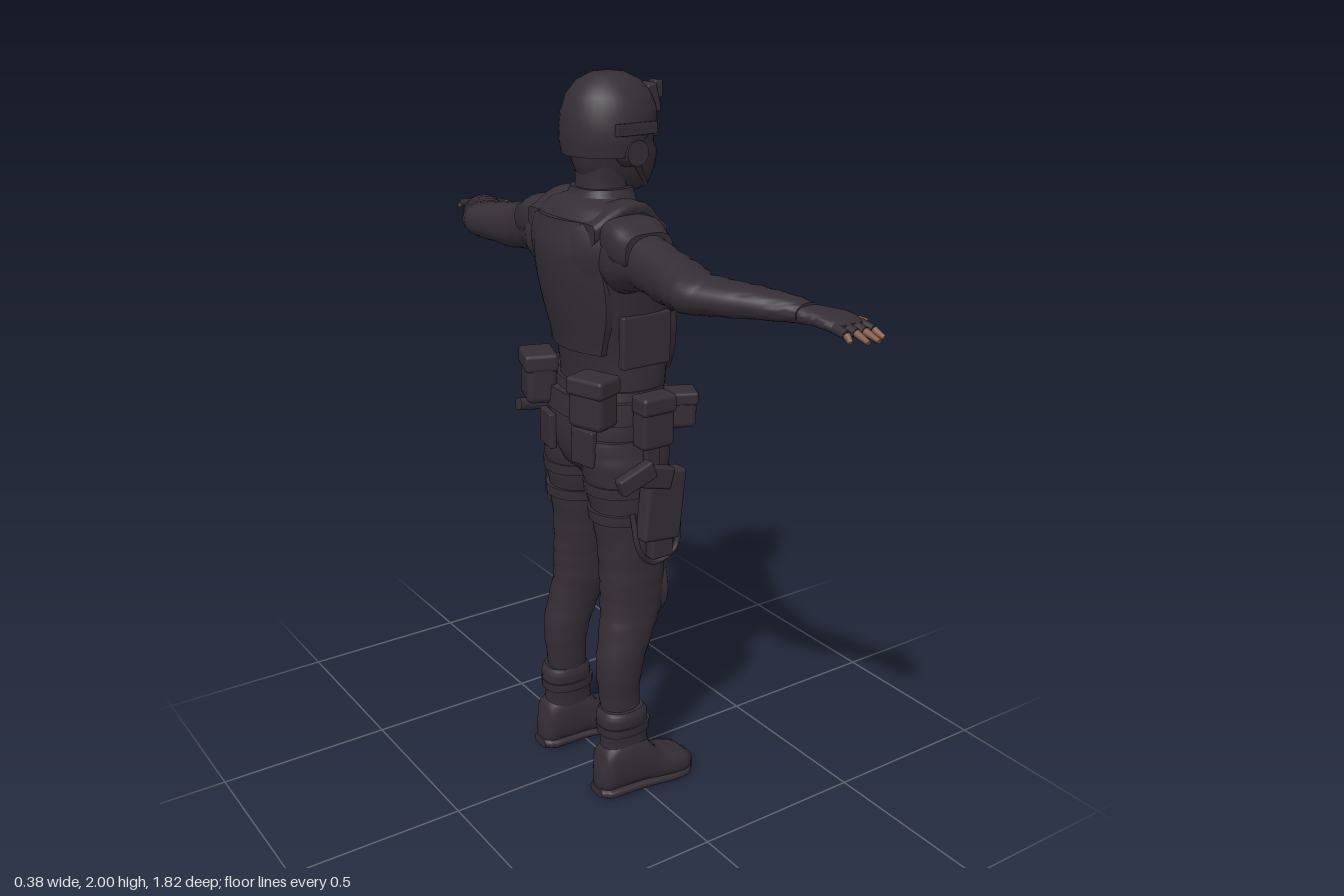
import * as THREE from 'three';
import { toCreasedNormals } from 'three/addons/utils/BufferGeometryUtils.js';
import { RoundedBoxGeometry } from 'three/addons/geometries/RoundedBoxGeometry.js';

// Smooth interpolation of equal-length rows of numbers
function refine(rows, steps) {
  const out = [], at = (i) => rows[Math.max(0, Math.min(rows.length - 1, i))];
  for (let i = 0; i < rows.length - 1; i++) {
    const [p, a, b, n] = [at(i - 1), at(i), at(i + 1), at(i + 2)];
    for (let k = 0; k < steps; k++) {
      const t = k / steps, t2 = t * t, t3 = t2 * t;
      out.push(a.map((v, j) => {
        if (j === 0) return v + (b[0] - v) * t;
        const quad = 2 * p[j] - 5 * v + 4 * b[j] - n[j], cubic = 3 * v - p[j] - 3 * b[j] + n[j];
        return 0.5 * (2 * v + (b[j] - p[j]) * t + quad * t2 + cubic * t3);
      }));
    }
  }
  out.push(rows[rows.length - 1]);
  return out;
}

// Closed loft: rows are [position, uMin, uMax, vMin, vMax].
// axis y: u = x, v = z; axis x: u = z, v = y; axis z: u = y, v = x
function loft(axis, rows, { pow = 2.4, folds = 0, steps = 4, seg = 28 } = {}) {
  const pos = [], idx = [];
  const put = (s, u, v) => pos.push(...(axis === 'y' ? [u, s, v] : axis === 'x' ? [s, v, u] : [v, u, s]));
  const list = refine(rows, steps);
  list.forEach(([s, u0, u1, v0, v1], i) => {
    for (let j = 0; j < seg; j++) {
      const t = j / seg * Math.PI * 2, c = Math.cos(t), d = Math.sin(t);
      const f = 1 + folds * Math.sin(i * 2.1 + 1.6 * Math.sin(t + i * 0.4));
      const e = (w) => Math.sign(w) * Math.abs(w) ** (2 / pow) * f;
      put(s, (u0 + u1) / 2 + (u1 - u0) / 2 * e(c), (v0 + v1) / 2 + (v1 - v0) / 2 * e(d));
      if (i < list.length - 1) {
        const a = i * seg + j, b = i * seg + (j + 1) % seg;
        idx.push(a, a + seg, b, b, a + seg, b + seg);
      }
    }
  });
  [0, list.length - 1].forEach((i) => {
    const [s, u0, u1, v0, v1] = list[i], c = pos.length / 3;
    put(s, (u0 + u1) / 2, (v0 + v1) / 2);
    for (let j = 0; j < seg; j++) {
      const a = i * seg + j, b = i * seg + (j + 1) % seg;
      idx.push(...(i ? [a, c, b] : [a, b, c]));
    }
  });
  const g = new THREE.BufferGeometry();
  g.setAttribute('position', new THREE.Float32BufferAttribute(pos, 3));
  g.setIndex(idx);
  return toCreasedNormals(g, 0.9);
}

// Curved armour plate: rows are [y, halfWidth, frontZ]
function plate(rows, curve, thick = 0.02, cx = 0) {
  const n = rows.length - 1, g = new THREE.BoxGeometry(2, n, 1, 12, n * 3, 1), p = g.attributes.position;
  const list = refine(rows, 3);
  for (let i = 0; i < p.count; i++) {
    const [y, w, z] = list[Math.round((p.getY(i) + n / 2) * 3)];
    const x = p.getX(i) * w;
    p.setXYZ(i, cx + x, y, z - curve * x * x + (p.getZ(i) - 0.5) * thick);
  }
  g.computeVertexNormals();
  return g;
}

function box(w, h, d, x, y, z, ry = 0, rx = 0) {
  const g = new RoundedBoxGeometry(w, h, d, 2, Math.min(w, h, d) * 0.22);
  return g.rotateX(rx).rotateY(ry).translate(x, y, z);
}

// Tapered rod between two points
function rod(a, b, r0, r1) {
  const A = new THREE.Vector3(...a), d = new THREE.Vector3(...b).sub(A);
  const g = new THREE.CylinderGeometry(r1, r0, d.length(), 10, 1);
  g.applyQuaternion(new THREE.Quaternion().setFromUnitVectors(new THREE.Vector3(0, 1, 0), d.clone().normalize()));
  return g.translate(A.x + d.x / 2, A.y + d.y / 2, A.z + d.z / 2);
}

function mirrored(geo) {
  const g = geo.clone().scale(-1, 1, 1);
  const n = g.index ? g.index.count : g.attributes.position.count;
  const ix = Array.from({ length: n }, (_, i) => (g.index ? g.index.getX(i) : i));
  for (let i = 0; i < n; i += 3) [ix[i], ix[i + 1]] = [ix[i + 1], ix[i]];
  g.setIndex(ix);
  return g;
}

export function createModel() {
  const uniform = new THREE.MeshStandardMaterial({ color: 0x352e35 });
  uniform.name = 'dark uniform';
  const skin = new THREE.MeshStandardMaterial({ color: 0x7d5748 });
  skin.name = 'skin';
  const body = new THREE.Group();
  body.name = 'officer';
  const add = (name, geo, mat = uniform) => {
    const m = new THREE.Mesh(geo, mat);
    m.name = name;
    body.add(m);
  };
  const pair = (name, geo, mat) => {
    add(name + 'Left', geo, mat);
    add(name + 'Right', mirrored(geo), mat);
  };

  // Torso, hips and belt
  add('torso', loft('y', [[1.1, -.155, .155, -.1, .12], [1.2, -.16, .16, -.1, .14], [1.3, -.157, .157, -.115, .15],
    [1.4, -.172, .172, -.14, .155], [1.5, -.188, .188, -.165, .155], [1.58, -.2, .2, -.175, .135],
    [1.64, -.185, .185, -.16, .085], [1.68, -.13, .13, -.13, .055], [1.7, -.08, .08, -.09, .05]], { seg: 40 }));
  add('pelvis', loft('y', [[.93, -.05, .05, -.07, .07], [.97, -.12, .12, -.11, .1], [1.03, -.165, .165, -.13, .125],
    [1.1, -.175, .175, -.13, .13], [1.2, -.165, .165, -.11, .135]]));
  add('belt', loft('y', [[1.115, -.185, .185, -.14, .145], [1.175, -.182, .182, -.135, .148]], { steps: 1 }));
  add('buckle', box(.06, .05, .02, 0, 1.145, .152));
  add('groinFlap', plate([[.985, .025, .122], [1.03, .06, .135], [1.1, .075, .142]], 2));

  // Vest plates
  add('chestPlate', plate([[1.39, .125, .178], [1.44, .155, .182], [1.52, .15, .177], [1.59, .115, .15], [1.65, .085, .1]], 2.8, .025));
  add('chestSeam', plate([[1.4, .004, .185], [1.5, .004, .185], [1.58, .004, .162]], 0, .015));
  add('bellyPlate', plate([[1.21, .06, .178], [1.25, .085, .18], [1.33, .11, .182], [1.385, .115, .178]], 2.5, .035));
  add('backPlate', plate([[1.3, .12, .132], [1.4, .15, .158], [1.5, .16, .18], [1.58, .145, .186], [1.65, .1, .17]], 2.6, .03).rotateY(Math.PI));
  pair('shoulderStrap', loft('z', [[-.14, 1.6, 1.65, .09, .16], [-.06, 1.655, 1.692, .09, .165], [.02, 1.65, 1.69, .085, .16],
    [.09, 1.58, 1.63, .085, .145]], { pow: 4 }));
  pair('sidePanel', box(.025, .14, .15, .165, 1.34, .01));

  // Neck, collar and masked head
  add('neck', loft('y', [[1.62, -.08, .08, -.1, .05], [1.7, -.065, .065, -.08, .05], [1.78, -.065, .065, -.08, .05]]));
  add('collar', loft('y', [[1.655, -.11, .11, -.125, .07], [1.69, -.093, .093, -.1, .065], [1.715, -.08, .08, -.088, .06]]));
  add('head', loft('y', [[1.7, -.035, .035, -.02, .1], [1.715, -.052, .052, -.05, .122], [1.75, -.066, .066, -.08, .135],
    [1.79, -.074, .074, -.095, .143], [1.82, -.08, .08, -.1, .13], [1.88, -.088, .088, -.1, .125], [1.93, -.07, .07, -.08, .09]]));
  add('nose', loft('y', [[1.765, -.014, .014, .12, .145], [1.785, -.013, .013, .12, .158], [1.83, -.007, .007, .11, .136]]));
  add('goggles', plate([[1.835, .055, .14], [1.865, .065, .14]], 5, .03));

  // Helmet, raised over the brow
  const rim = [[.088, 1.83], [.104, 1.798], [.115, 1.798], [.12, 1.83], [.121, 1.86], [.117, 1.9], [.103, 1.943], [.078, 1.976], [.042, 1.995], [0, 2]];
  const shell = new THREE.LatheGeometry(rim.map((q) => new THREE.Vector2(...q)), 36).scale(1, 1, 1.05);
  const hp = shell.attributes.position;
  for (let i = 0; i < hp.count; i++) {
    const low = (2 - hp.getY(i)) / .2, front = THREE.MathUtils.smoothstep(hp.getZ(i), -.03, .1);
    hp.setY(i, hp.getY(i) + .068 * front * low * low);
    hp.setZ(i, hp.getZ(i) + .005);
  }
  add('helmet', toCreasedNormals(shell, 0.8));
  add('helmetMount', box(.06, .075, .03, 0, 1.925, .13, 0, -.25));
  add('mountClip', box(.035, .045, .025, 0, 1.945, .152));
  pair('helmetRail', box(.014, .03, .12, .12, 1.868, .01));
  pair('earCup', new THREE.CylinderGeometry(.032, .04, .045, 18).rotateZ(-Math.PI / 2).translate(.1, 1.808, .015));
  pair('chinStrap', rod([.085, 1.79, .03], [.035, 1.712, .095], .009, .009));

  // Sleeves
  pair('sleeve', loft('x', [[.12, -.12, .06, 1.48, 1.655], [.18, -.13, .05, 1.475, 1.66], [.25, -.115, .02, 1.5, 1.64],
    [.35, -.12, .01, 1.49, 1.62], [.44, -.14, .005, 1.495, 1.605], [.5, -.148, -.01, 1.5, 1.597], [.55, -.125, .015, 1.505, 1.59],
    [.62, -.085, .04, 1.51, 1.585], [.7, -.03, .065, 1.515, 1.575], [.745, .002, .076, 1.517, 1.565]], { folds: .025, pow: 2.2 }));
  pair('shoulderPad', loft('x', [[.16, -.125, .045, 1.57, 1.668], [.21, -.13, .035, 1.55, 1.668], [.265, -.12, .02, 1.55, 1.642]], { pow: 3 }));

  // Gloved hands with bare fingertips
  pair('glove', loft('x', [[.735, .003, .072, 1.517, 1.56], [.765, .015, .1, 1.517, 1.556], [.8, .024, .125, 1.514, 1.55],
    [.835, .034, .125, 1.512, 1.54], [.845, .04, .12, 1.515, 1.535]], { pow: 2.8 }));
  [[.045, .04, .885], [.07, .072, .907], [.094, .1, .91], [.116, .128, .895]].forEach(([z0, z1, end], i) => {
    const mid = [.868, 1.52, (z0 + z1) / 2];
    pair('gloveFinger' + i, rod([.83, 1.526, z0], mid, .013, .011));
    pair('fingertip' + i, rod(mid, [end, 1.507, z1], .0095, .006), skin);
  });
  pair('gloveThumb', rod([.76, 1.53, .085], [.782, 1.524, .135], .018, .012));
  pair('thumbTip', rod([.782, 1.524, .135], [.795, 1.515, .17], .0105, .007), skin);

  // Trousers, knee pads and boots
  pair('trouserLeg', loft('y', [[.2, .1, .19, -.1, .015], [.3, .09, .19, -.107, .01], [.4, .08, .2, -.115, .02], [.5, .07, .197, -.1, .06],
    [.57, .056, .19, -.09, .095], [.64, .05, .19, -.09, .1], [.72, .04, .19, -.09, .1], [.82, .028, .19, -.1, .11],
    [.92, .008, .195, -.115, .12], [1, -.002, .195, -.127, .122], [1.07, .01, .18, -.125, .12]], { folds: .018, pow: 2.2 }));
  pair('kneePad', plate([[.53, .035, .088], [.57, .05, .11], [.62, .053, .114], [.665, .04, .106]], 8, .025, .12));
  pair('bootShaft', loft('y', [[.1, .105, .2, -.115, .04], [.18, .1, .197, -.11, .03], [.22, .093, .205, -.118, .03],
    [.255, .09, .208, -.118, .025], [.27, .095, .2, -.11, .015]]));
  pair('ankleStrap', loft('y', [[.195, .09, .208, -.118, .036], [.222, .088, .21, -.121, .036]], { steps: 1 }));
  pair('boot', loft('z', [[-.132, .025, .09, .13, .18], [-.115, .012, .15, .108, .2], [-.05, .01, .18, .1, .207], [.01, .01, .16, .098, .212],
    [.06, .008, .105, .092, .218], [.11, .006, .085, .09, .222], [.15, .006, .072, .1, .217], [.176, .012, .05, .128, .193]], { pow: 2.7 }));
  pair('sole', loft('z', [[-.136, .004, .03, .125, .185], [-.11, .003, .03, .104, .205], [0, .003, .027, .1, .212], [.1, 0, .025, .087, .225],
    [.15, 0, .025, .097, .22], [.18, .004, .026, .13, .19]], { pow: 4 }));

  // Belt pouches
  pair('hipPouch', box(.06, .14, .1, .208, 1.13, .01));
  pair('hipPouchFlap', box(.066, .05, .106, .21, 1.18, .01));
  pair('frontPouch', box(.075, .1, .08, .168, 1.135, .125, .45));
  pair('frontPouchFlap', box(.08, .035, .086, .168, 1.168, .125, .45));
  pair('backPouch', box(.11, .14, .085, .135, 1.19, -.13, -.35));
  pair('backPouchFlap', box(.116, .05, .092, .136, 1.235, -.13, -.35));
  pair('rearPocket', box(.08, .1, .02, .09, 1.05, -.13, -.2));
  pair('beltHanger', box(.02, .17, .045, .2, 1.02, .01));

  // Thigh straps, holster on the right, pouch on the left
  [.85, .93].forEach((y, i) => {
    const low = [y - .015, .018 - i * .012, .2, -.112 - i * .01, .118 + i * .008];
    const high = [y + .015, .014 - i * .012, .202, -.114 - i * .01, .12 + i * .008];
    pair('thighStrap' + i, loft('y', [low, high], { steps: 1, pow: 2.2 }));
  });
  add('holster', box(.05, .2, .12, -.225, .9, .025, 0, .1));
  add('holsterMuzzle', box(.038, .1, .07, -.215, .79, .03));
  add('pistolSlide', box(.035, .06, .11, -.24, .99, -.01, 0, .25));
  add('pistolGrip', box(.034, .05, .11, -.245, 1, -.07, 0, -.35));
  const loop = [[-.2, .88, -.05], [-.215, .77, -.035], [-.205, .72, .02], [-.21, .75, .085], [-.2, .88, .1]];
  const loopCurve = new THREE.CatmullRomCurve3(loop.map((q) => new THREE.Vector3(...q)));
  add('lanyard', new THREE.TubeGeometry(loopCurve, 24, .008, 8));
  add('thighPouch', box(.055, .23, .13, .225, .87, .02));
  add('thighPouchFlap', box(.062, .07, .138, .226, .955, .02));
  [-.02, .06].forEach((z, i) => add('pouchRib' + i, box(.02, .14, .04, .252, .84, z)));
  [.83, .92].forEach((y, i) => add('thighPocket' + i, box(.07, .06, .025, -.13, y, .118, -.2)));
  add('torch', rod([.215, 1.07, -.06], [.215, 1.085, -.15], .018, .018));

  // The figure faces +x
  body.rotation.y = Math.PI / 2;
  const root = new THREE.Group();
  root.name = 'figure';
  root.add(body);
  return root;
}
